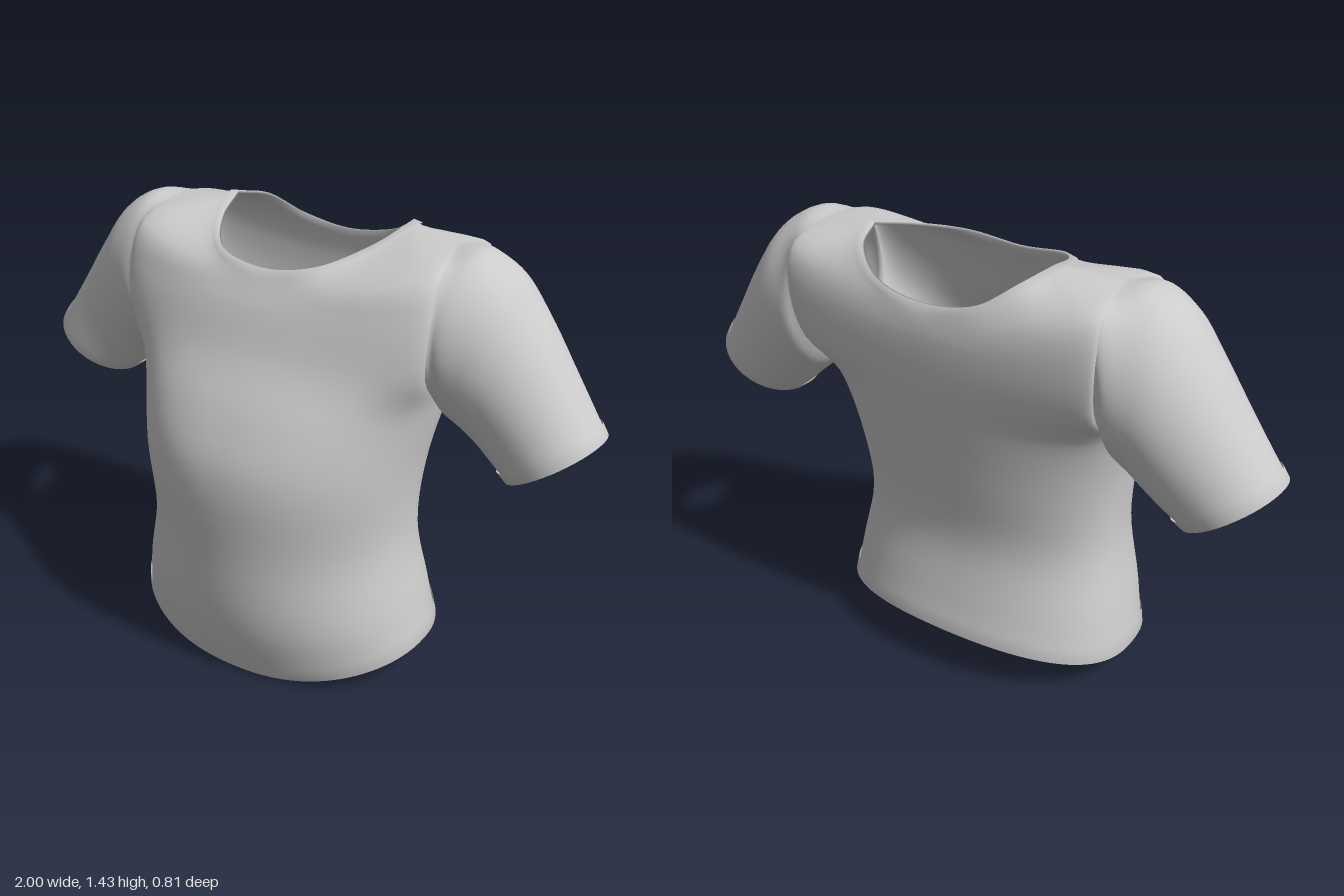
import * as THREE from 'three';
import { mergeVertices, mergeGeometries } from 'three/addons/utils/BufferGeometryUtils.js';

const V = (x, y, z) => new THREE.Vector3(x, y, z);
const mirror = p => V(-p.x, p.y, p.z);
const N = 24;      // columns from the centre line to the side seam
const NECK = 18;   // columns that end on the neckline, the rest end on the shoulder
const S = 5;       // steps between cross-sections
const ARMPIT = 4;  // cross-section where the armhole starts

// Cross-sections from hem to shoulder:
// [y at centre, y at side, half width, z at centre, z at side, x exponent, z exponent]
const FRONT = [
  [0, 0.105, 0.525, 0.32, -0.03, 0.9, 0.85],
  [0.20, 0.24, 0.50, 0.375, -0.03, 0.95, 0.93],
  [0.45, 0.47, 0.455, 0.395, -0.02, 1, 1],
  [0.75, 0.70, 0.46, 0.405, -0.04, 0.9, 0.9],
  [0.92, 0.92, 0.50, 0.34, -0.10, 0.85, 0.85],
  [1.08, 1.07, 0.525, 0.24, 0.075, 1, 1],
  [1.21, 1.25, 0.535, 0.18, 0.08, 1.1, 1.1],
  [1.27, 1.37, 0.525, 0.145, 0.005, 1.25, 1],
];
const BACK = [
  [0.165, 0.105, 0.525, -0.365, -0.03, 0.9, 0.85],
  [0.28, 0.24, 0.50, -0.335, -0.03, 0.88, 0.88],
  [0.48, 0.47, 0.455, -0.30, -0.02, 0.88, 0.88],
  [0.72, 0.70, 0.46, -0.33, -0.04, 0.85, 0.85],
  [0.93, 0.92, 0.50, -0.365, -0.10, 0.85, 0.85],
  [1.07, 1.06, 0.515, -0.39, -0.31, 1, 0.85],
  [1.20, 1.25, 0.53, -0.40, -0.355, 1.1, 0.85],
  [1.26, 1.37, 0.525, -0.395, -0.31, 1.25, 0.85],
];
// Neckline halves, from the centre to the shoulder
const NECK_POINT = V(0.31, 1.427, -0.2), SHOULDER = V(0.5, 1.412, -0.155);
const FRONT_NECK = [V(0, 1.32, 0.115), V(0.165, 1.345, 0.085), V(0.27, 1.39, -0.06), NECK_POINT];
const BACK_NECK = [V(0, 1.31, -0.38), V(0.17, 1.34, -0.37), V(0.265, 1.40, -0.31), NECK_POINT];
// Sleeve rings: [top x, top y, bottom x, bottom y, z centre, z radius]
const SLEEVE = [
  [0.585, 1.412, 0.545, 0.895, -0.138, 0.226],
  [0.68, 1.36, 0.585, 0.862, -0.142, 0.212],
  [0.77, 1.25, 0.63, 0.825, -0.145, 0.195],
  [0.88, 1.09, 0.68, 0.78, -0.14, 0.175],
  [0.995, 0.92, 0.73, 0.742, -0.13, 0.16],
];

// Surface through a list of equally long point lines
function grid(lines) {
  const n = lines[0].length, index = [];
  for (let i = 0; i < lines.length - 1; i++) {
    for (let j = 0; j < n - 1; j++) {
      const a = i * n + j, b = a + n;
      index.push(a, b, b + 1, a, b + 1, a + 1);
    }
  }
  const geo = new THREE.BufferGeometry().setFromPoints(lines.flat());
  geo.setIndex(index);
  return geo;
}

// Columns of one body panel, from the right side seam to the left one
function panel(rows, neck) {
  const neckline = new THREE.CatmullRomCurve3([...neck.slice(1).reverse().map(mirror), ...neck]);
  const columns = [];
  for (let c = -N; c <= N; c++) {
    const side = Math.sign(c), k = Math.abs(c), a = k / N * Math.PI / 2;
    const sin = Math.sin(a), cos = k === N ? 0 : Math.cos(a);
    const pts = rows.map(([yC, yE, w, zC, zE, qx, qz]) => V(
      side * w * sin ** qx,
      yC + (yE - yC) * sin ** 2,
      zE + (zC - zE) * cos ** qz));
    if (k <= NECK) pts.push(neckline.getPoint(0.5 + c / NECK / 2));
    else {
      const p = NECK_POINT.clone().lerp(SHOULDER, (k - NECK) / (N - NECK));
      pts.push(V(side * p.x, p.y, p.z));
    }
    const spline = list => new THREE.CatmullRomCurve3(list).getPoints((list.length - 1) * S);
    // The outer columns bend at the armpit
    columns.push(k === N
      ? [...spline(pts.slice(0, ARMPIT + 1)), ...spline(pts.slice(ARMPIT)).slice(1)]
      : spline(pts));
  }
  return columns;
}

// Folded band along a closed edge; inner is the matching loop on the cloth
function band(edge, inner, t = 0.005) {
  const n = edge.length - 1;
  return grid(edge.map((e, i) => {
    const along = edge[(i + 1) % n].clone().sub(edge[(i - 1 + n) % n]);
    const out = along.cross(inner[i].clone().sub(e)).setLength(t);
    const move = (p, s) => p.clone().addScaledVector(out, s);
    return [move(inner[i], -1), move(e, -1), move(e, 1), move(inner[i], 1)];
  }));
}

const inset = (e, next, d) => e.clone().add(next.clone().sub(e).setLength(d));

export function createModel() {
  const shirt = new THREE.Group();
  shirt.name = 'shirt';
  const material = new THREE.MeshStandardMaterial({
    color: 0xcccccc, roughness: 0.9, side: THREE.DoubleSide });
  const add = (name, geo) => {
    const smooth = mergeVertices(geo, 1e-4);
    smooth.computeVertexNormals();
    const mesh = new THREE.Mesh(smooth, material);
    mesh.name = name;
    shirt.add(mesh);
  };

  // Body: front and back panels joined at the side and shoulder seams
  const front = panel(FRONT, FRONT_NECK);
  const back = panel(BACK, BACK_NECK).reverse();
  add('body', mergeGeometries([grid(front), grid(back)]));

  // Bottom hem
  const around = [...front, ...back.slice(1)];
  add('hem', band(around.map(c => c[0]), around.map(c => inset(c[0], c[1], 0.05))));

  // Neckband, turning outwards onto the shoulders
  const cut = list => list.slice(N - NECK, N + NECK + 1);
  const neckColumns = [...cut(front), ...cut(back).slice(1)];
  const top = front[0].length - 1;
  const neckEdge = neckColumns.map(c => c[top]);
  const neckInner = neckColumns.map((c, i) => {
    const e = c[top], dir = c[top - 1].clone().sub(e).normalize();
    const k = Math.abs((i % (2 * NECK)) - NECK) / NECK;
    dir.lerp(V(Math.sign(e.x), -0.05, 0), k ** 4);
    return e.clone().addScaledVector(dir.normalize(), 0.03);
  });
  add('neckband', band(neckEdge, neckInner));

  // Sleeves: lofted from the armhole to the cuff
  const frontEdge = front[2 * N].slice(ARMPIT * S);
  const backEdge = back[0].slice(ARMPIT * S).reverse();
  const armhole = [...frontEdge, ...backEdge.slice(1)];
  const left = armhole.map((p, i) => {
    const phi = -Math.PI / 2 + i / (armhole.length - 1) * Math.PI * 2;
    const s = (1 + Math.sin(phi)) / 2;
    const rings = SLEEVE.map(([tx, ty, bx, by, zc, zr]) =>
      V(bx + (tx - bx) * s, by + (ty - by) * s, zc + zr * Math.cos(phi)));
    return new THREE.CatmullRomCurve3([p, ...rings]).getPoints(SLEEVE.length * S);
  }).reverse();
  const right = left.map(line => line.map(mirror)).reverse();
  for (const [name, lines] of [['left', left], ['right', right]]) {
    const end = lines[0].length - 1;
    add(name + 'Sleeve', grid(lines));
    add(name + 'Cuff', band(lines.map(l => l[end]), lines.map(l => inset(l[end], l[end - 1], 0.04))));
  }
  return shirt;
}
